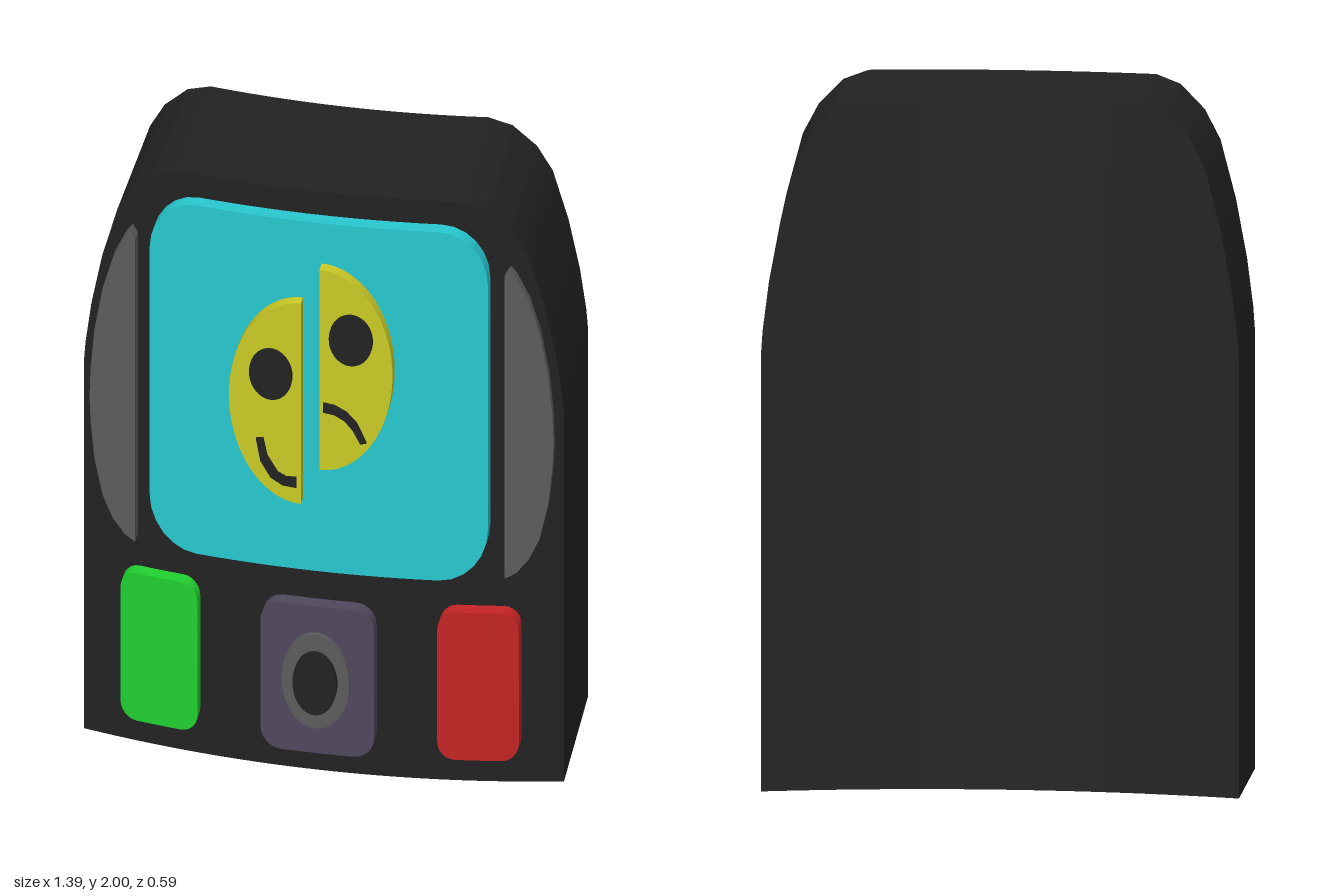
import * as THREE from 'three';
import { toCreasedNormals } from 'three/addons/utils/BufferGeometryUtils.js';

const BEND = 0.157; // depth lost per x squared, shared by every layer

// Height of a left-to-right polyline at x
function heightAt(line, x) {
  for (let i = 1; i < line.length; i++) {
    const [x0, y0] = line[i - 1], [x1, y1] = line[i];
    if (x <= x1) return y0 + (y1 - y0) * Math.max(0, (x - x0) / (x1 - x0));
  }
  return line[line.length - 1][1];
}

// Bowed slab between an upper and a lower outline, cut into upright columns
function slab(group, name, color, { upper, lower }, back, front, taper = 1) {
  const x0 = upper[0][0], x1 = upper[upper.length - 1][0];
  const xs = [...upper, ...lower].map((p) => p[0]);
  const steps = Math.ceil((x1 - x0) / 0.04);
  for (let i = 1; i < steps; i++) xs.push(x0 + ((x1 - x0) * i) / steps);
  xs.sort((a, b) => a - b);
  const cols = xs.filter((x, i) => i === 0 || x - xs[i - 1] > 1e-5).map((x) => {
    const lo = heightAt(lower, x), hi = heightAt(upper, x), bow = BEND * x * x;
    const at = (y, z, s) => new THREE.Vector3(x * s, y, z - bow);
    return { fl: at(lo, front, 1), fh: at(hi, front, 1), bl: at(lo, back, taper), bh: at(hi, back, taper) };
  });
  const pos = [];
  const tri = (a, b, c) => {
    if (new THREE.Triangle(a, b, c).getArea() > 1e-9) for (const p of [a, b, c]) pos.push(p.x, p.y, p.z);
  };
  const quad = (a, b, c, d) => { tri(a, b, c); tri(a, c, d); };
  for (let i = 1; i < cols.length; i++) {
    const p = cols[i - 1], q = cols[i];
    quad(p.fl, q.fl, q.fh, p.fh); // front
    quad(q.bl, p.bl, p.bh, q.bh); // back
    quad(p.fh, q.fh, q.bh, p.bh); // top
    quad(p.bl, q.bl, q.fl, p.fl); // bottom
  }
  const s = cols[0], e = cols[cols.length - 1];
  quad(s.bl, s.fl, s.fh, s.bh);
  quad(e.fl, e.bl, e.bh, e.fh);
  const geo = new THREE.BufferGeometry();
  geo.setAttribute('position', new THREE.Float32BufferAttribute(pos, 3));
  const mesh = new THREE.Mesh(toCreasedNormals(geo, 0.5), new THREE.MeshStandardMaterial({ color }));
  mesh.name = name;
  group.add(mesh);
}

// Outline helpers
const mirrorLine = (line) => line.map(([x, y]) => [-x, y]).reverse();
const mirror = ({ upper, lower }) => ({ upper: mirrorLine(upper), lower: mirrorLine(lower) });

function roundedRect(x0, x1, y0, y1, rx, ry) {
  const edge = (y, s) => {
    const pts = [];
    for (let i = 0; i <= 6; i++) {
      const a = (i / 6) * Math.PI / 2;
      pts.push([x0 + rx - rx * Math.cos(a), y - s * ry * (1 - Math.sin(a))]);
    }
    return [...pts, ...pts.map(([x, h]) => [x0 + x1 - x, h]).reverse()];
  };
  return { upper: edge(y1, 1), lower: edge(y0, -1) };
}

// Ellipse, or the part of it between two angles (PI = left end, 0 = right end)
function ellipse(cx, cy, rx, ry, from = Math.PI, to = 0) {
  const arc = (s) => Array.from({ length: 25 }, (_, i) => {
    const a = from + ((to - from) * i) / 24;
    return [cx + rx * Math.cos(a), cy + s * ry * Math.sin(a)];
  });
  return { upper: arc(1), lower: arc(-1) };
}

export function createModel() {
  const g = new THREE.Group();
  g.name = 'curvedPanel';
  const dark = 0x222222, grey = 0x5c5c5c, yellow = 0xcaca26;

  // Body with a rounded top
  const shoulder = [[0.41, 2], [0.48, 1.975], [0.55, 1.905], [0.595, 1.82], [0.64, 1.65], [0.672, 1.48], [0.69, 1.34], [0.695, 1.27]];
  slab(g, 'body', dark, { upper: [...mirrorLine(shoulder), ...shoulder], lower: [[-0.695, 0], [0.695, 0]] }, -0.22, 0.21, 0.98);

  // Screen and side panels
  slab(g, 'screen', 0x28c8d0, roundedRect(-0.49, 0.49, 0.715, 1.92, 0.14, 0.18), 0.2, 0.25);
  const side = {
    upper: [[0.533, 1.76], [0.547, 1.785], [0.565, 1.76], [0.6, 1.68], [0.63, 1.57], [0.655, 1.42], [0.667, 1.28], [0.67, 1.18]],
    lower: [[0.533, 0.715], [0.565, 0.735], [0.6, 0.78], [0.63, 0.85], [0.655, 0.97], [0.667, 1.1], [0.67, 1.18]],
  };
  slab(g, 'leftSidePanel', grey, side, 0.2, 0.231);
  slab(g, 'rightSidePanel', grey, mirror(side), 0.2, 0.25);

  // Buttons and round knob
  slab(g, 'greenButton', 0x20d030, roundedRect(-0.577, -0.347, 0.097, 0.607, 0.05, 0.06), 0.2, 0.25);
  slab(g, 'redButton', 0xc42424, roundedRect(0.347, 0.577, 0.097, 0.607, 0.05, 0.06), 0.2, 0.25);
  slab(g, 'knobPlate', 0x50485e, roundedRect(-0.162, 0.167, 0.085, 0.592, 0.06, 0.07), 0.2, 0.25);
  slab(g, 'knobRing', grey, ellipse(0, 0.34, 0.098, 0.162), 0.24, 0.262);
  slab(g, 'knob', dark, ellipse(0, 0.34, 0.064, 0.106), 0.25, 0.277);

  // Two half faces, one smiling and one frowning
  slab(g, 'happyHalf', yellow, ellipse(-0.038, 1.31, 0.21, 0.346, Math.PI, Math.PI / 2), 0.24, 0.283);
  slab(g, 'sadHalf', yellow, ellipse(0.016, 1.435, 0.21, 0.346, Math.PI / 2, 0), 0.24, 0.283);
  slab(g, 'happyEye', dark, ellipse(-0.125, 1.403, 0.063, 0.087), 0.27, 0.29);
  slab(g, 'sadEye', dark, ellipse(0.107, 1.55, 0.063, 0.087), 0.27, 0.29);
  slab(g, 'smile', dark, {
    upper: [[-0.168, 1.175], [-0.147, 1.18], [-0.135, 1.12], [-0.105, 1.068], [-0.08, 1.055], [-0.05, 1.057]],
    lower: [[-0.168, 1.175], [-0.155, 1.1], [-0.125, 1.047], [-0.09, 1.025], [-0.05, 1.022]],
  }, 0.27, 0.29);
  slab(g, 'frown', dark, {
    upper: [[0.027, 1.325], [0.06, 1.32], [0.095, 1.3], [0.125, 1.265], [0.152, 1.2]],
    lower: [[0.027, 1.293], [0.06, 1.288], [0.09, 1.27], [0.113, 1.24], [0.135, 1.195], [0.152, 1.2]],
  }, 0.27, 0.29);
  return g;
}
